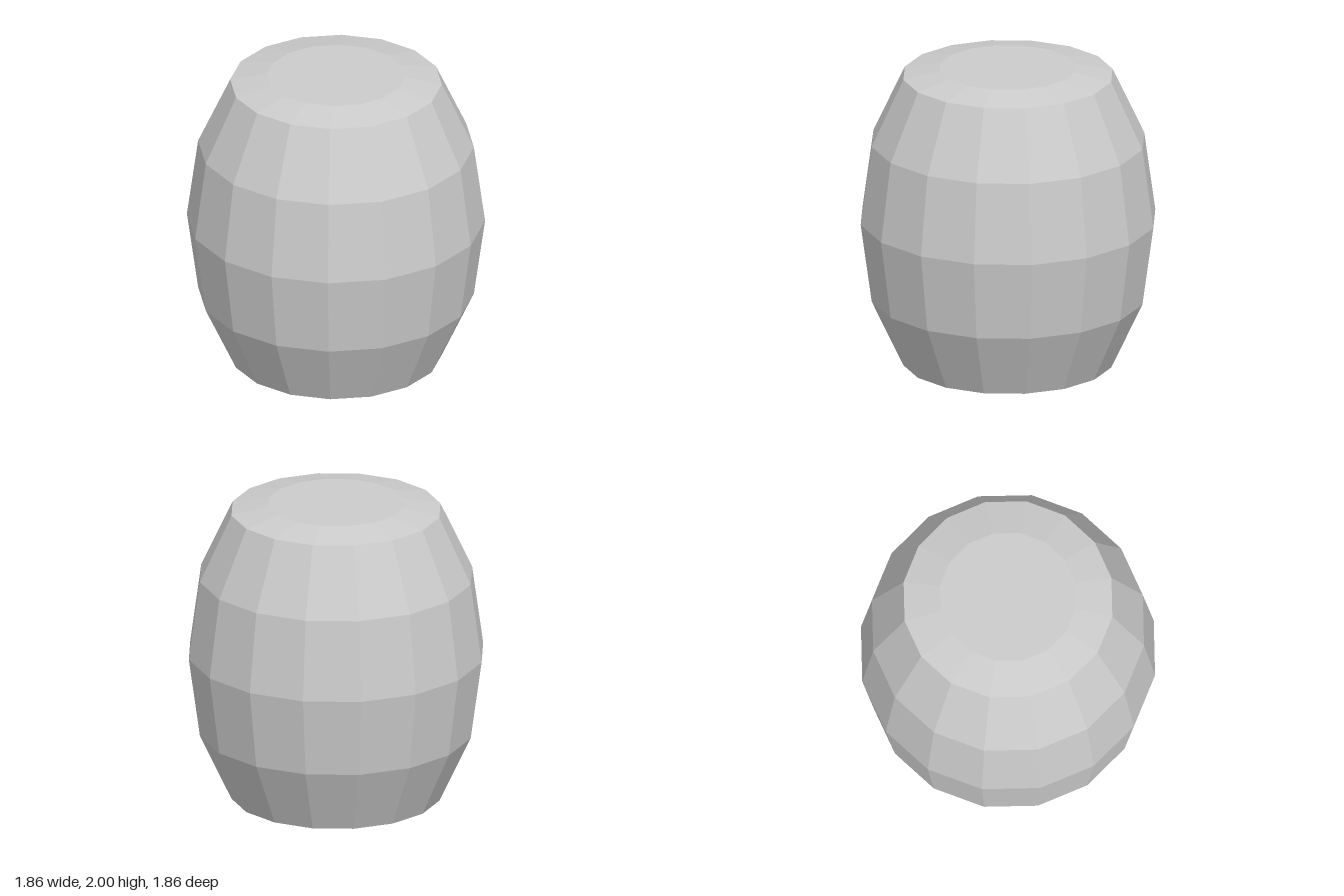
import * as THREE from 'three';

export function createModel() {
  const model = new THREE.Group();
  model.name = 'barrel';
  const material = new THREE.MeshStandardMaterial({ color: 0xcccccc, flatShading: true });

  // Revolve a [radius, height] profile, listed bottom to top, into 16 flat sides
  const addPart = (name, profile) => {
    const points = profile.map(([r, y]) => new THREE.Vector2(r, y));
    const mesh = new THREE.Mesh(new THREE.LatheGeometry(points, 16), material);
    mesh.name = name;
    model.add(mesh);
  };

  // Bulging side wall
  addPart('barrelBody', [[0.66, 0.075], [0.86, 0.505], [0.93, 1.015], [0.86, 1.525], [0.66, 1.955]]);

  // Shallow bevelled ends, each with a flat centre
  addPart('barrelBottom', [[0, 0], [0.43, 0], [0.66, 0.075]]);
  addPart('barrelLid', [[0.66, 1.955], [0.43, 2], [0, 2]]);

  return model;
}
